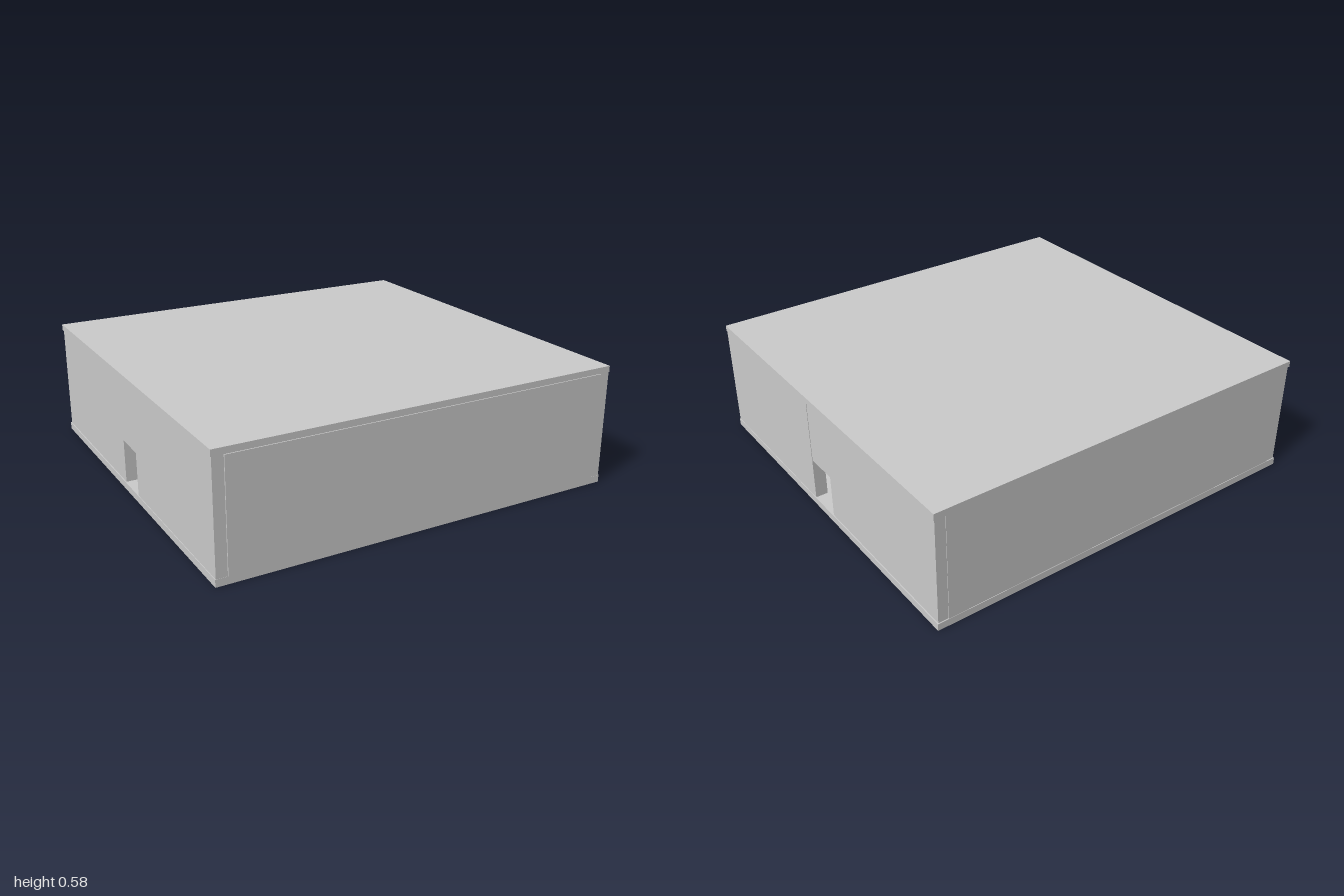
import * as THREE from 'three';

const material = new THREE.MeshStandardMaterial({ color: 0xcccccc, flatShading: true });

// Box given by its lower and upper corners
function block(name, [x0, y0, z0], [x1, y1, z1]) {
  const mesh = new THREE.Mesh(new THREE.BoxGeometry(x1 - x0, y1 - y0, z1 - z0), material);
  mesh.name = name;
  mesh.position.set((x0 + x1) / 2, (y0 + y1) / 2, (z0 + z1) / 2);
  return mesh;
}

export function createModel() {
  const model = new THREE.Group();
  model.name = 'room';

  const floorTop = 0.035, ceilingBottom = 0.555, height = 0.585;
  const doorTop = 0.245, doorBack = -0.08, doorFront = 0.09;

  // Floor and ceiling slabs
  model.add(block('floor', [-1, 0, -0.96], [1, floorTop, 0.955]));
  model.add(block('ceiling', [-1, ceilingBottom, -0.96], [1, height, 0.955]));

  // Closed walls, fitted between the side walls
  model.add(block('frontWall', [-0.945, floorTop, 0.9], [0.945, ceilingBottom, 0.96]));
  model.add(block('backWall', [-0.945, floorTop, -0.958], [0.945, ceilingBottom, -0.9]));

  // Side walls, each with a doorway; the front section stands slightly proud
  for (const side of [-1, 1]) {
    const wall = new THREE.Group();
    wall.name = side > 0 ? 'leftWall' : 'rightWall';
    const section = (name, outer, y0, z0, z1) => {
      const xs = [side * (outer - 0.06), side * outer].sort((a, b) => a - b);
      wall.add(block(name, [xs[0], y0, z0], [xs[1], ceilingBottom, z1]));
    };
    section('frontSection', 0.997, floorTop, doorFront, 0.954);
    section('lintel', 0.995, doorTop, doorBack, doorFront);
    section('backSection', 0.995, floorTop, -0.955, doorBack);
    model.add(wall);
  }
  return model;
}
